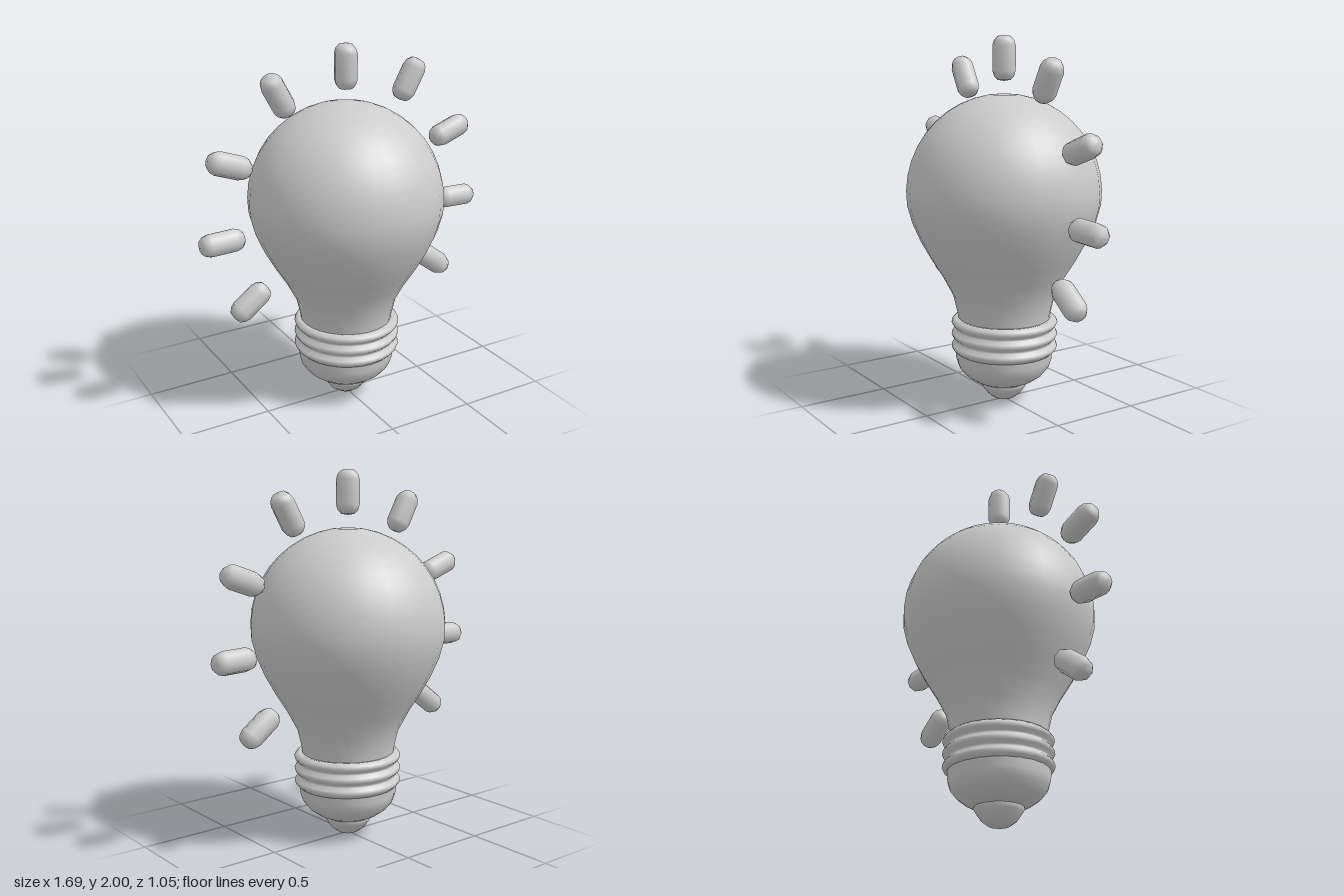
import * as THREE from 'three';

const material = new THREE.MeshStandardMaterial({ color: 0xcccccc });

// Turned part from [radius, height] pairs, listed from bottom to top
function turned(name, profile, segments) {
  const points = profile.map(([r, y]) => new THREE.Vector2(r, y));
  const mesh = new THREE.Mesh(new THREE.LatheGeometry(points, segments), material);
  mesh.name = name;
  return mesh;
}

export function createModel() {
  const model = new THREE.Group();
  model.name = 'lightBulb';

  // Glass: flared neck running into a round dome
  const glass = [[0.25, 0.44], [0.257, 0.5], [0.28, 0.6], [0.335, 0.706], [0.4, 0.81], [0.455, 0.91], [0.498, 1.01]];
  const steps = 11;
  for (let i = 0; i <= steps; i++) {
    const a = THREE.MathUtils.lerp(-0.12, Math.PI / 2, i / steps);
    glass.push([i === steps ? 0 : 0.527 * Math.cos(a), 1.168 + 0.527 * Math.sin(a)]);
  }
  model.add(turned('glassBulb', glass, 28));

  // Screw collar: three rounded ridges with grooves between
  const collar = [[0.26, 0.29]];
  for (const y of [0.313, 0.382, 0.45]) {
    collar.push([0.27, y - 0.03], [0.287, y - 0.014], [0.293, y], [0.287, y + 0.012], [0.27, y + 0.028]);
  }
  collar.push([0.24, 0.472]);
  const threads = turned('screwCollar', collar, 28);
  threads.rotation.z = -0.01;
  model.add(threads);

  // Base cup under the collar
  model.add(turned('baseCup', [
    [0, 0.095], [0.13, 0.1], [0.175, 0.122], [0.22, 0.155], [0.252, 0.195], [0.266, 0.24], [0.27, 0.31],
  ], 24));

  // Contact button at the very bottom
  model.add(turned('contactButton', [
    [0, 0], [0.055, 0.008], [0.092, 0.035], [0.12, 0.075], [0.132, 0.095], [0.125, 0.108], [0, 0.115],
  ], 20));

  // Light rays: short rounded pegs, [x, y, angle from horizontal in degrees]
  const rayProfile = [
    [0, -0.12], [0.036, -0.114], [0.054, -0.094], [0.063, -0.066],
    [0.063, 0.066], [0.054, 0.094], [0.036, 0.114], [0, 0.12],
  ];
  const rays = new THREE.Group();
  rays.name = 'lightRays';
  const addRay = (name, x, y, degrees) => {
    const ray = turned(name, rayProfile, 8);
    ray.position.set(x, y, 0);
    ray.rotation.z = THREE.MathUtils.degToRad(degrees - 90);
    rays.add(ray);
  };
  addRay('topRay', 0, 1.88, 90);
  [[0.39, 1.772, 61], [0.667, 1.453, 20], [0.725, 1.055, -2], [0.58, 0.69, -37]].forEach(([x, y, angle], i) => {
    addRay(`leftRay${i + 1}`, x, y, angle);
    addRay(`rightRay${i + 1}`, -x, y, 180 - angle);
  });
  model.add(rays);

  return model;
}
